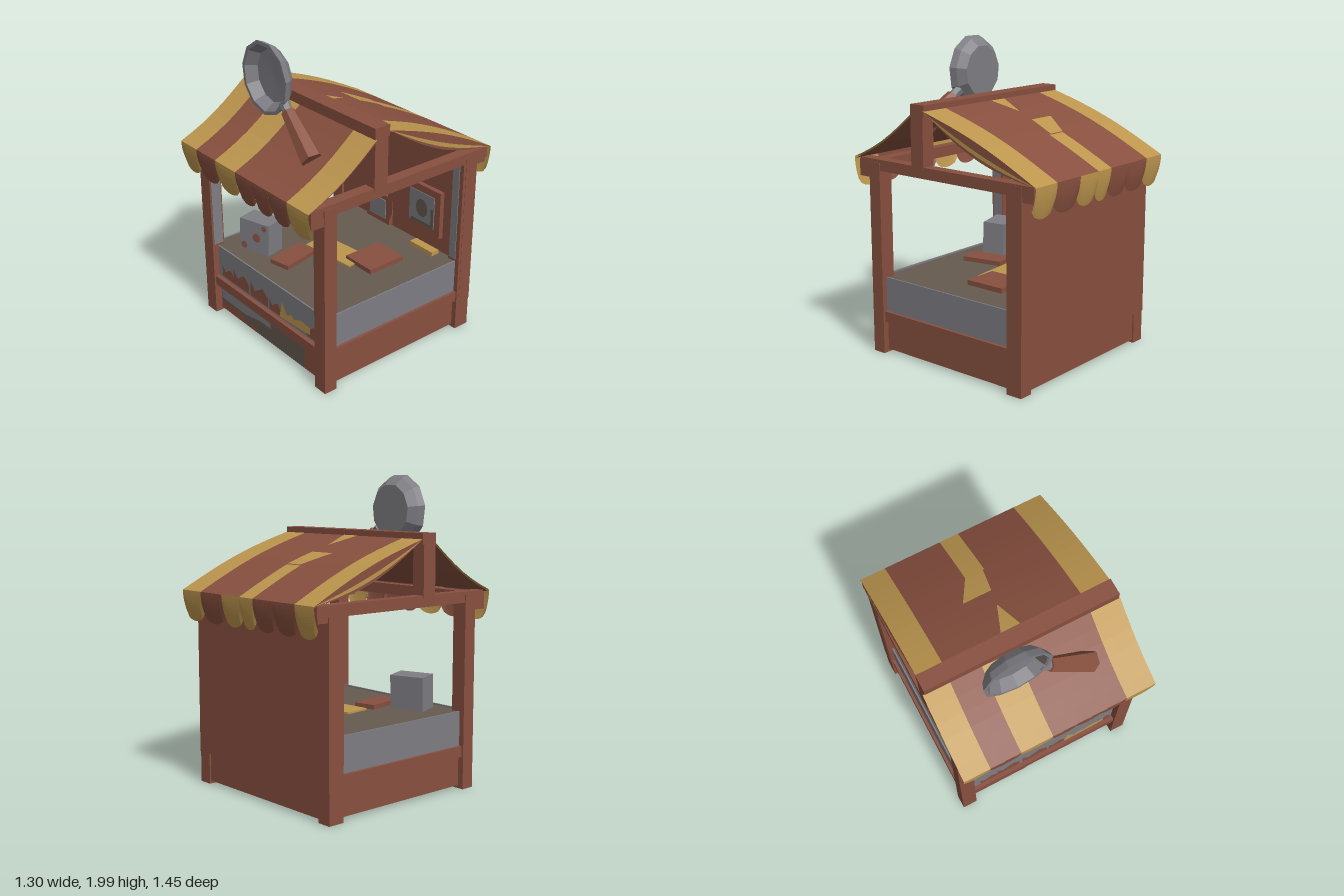
import * as THREE from 'three';

const mat = (name, color) => {
  const m = new THREE.MeshStandardMaterial({ color, flatShading: true, side: THREE.DoubleSide });
  m.name = name;
  return m;
};

export function createModel() {
  const group = new THREE.Group();
  const wood = mat('red brown wood', 0x88503f);
  const yellow = mat('mustard cloth', 0xbd964e);
  const grey = mat('grey metal', 0x7e7d83);
  const taupe = mat('dark taupe', 0x655a50);

  const add = (name, geo, material, parent = group) => {
    const m = new THREE.Mesh(geo, material);
    m.name = name;
    parent.add(m);
    return m;
  };
  // box given by its extents
  const box = (name, material, x0, x1, y0, y1, z0, z1) => {
    const m = add(name, new THREE.BoxGeometry(x1 - x0, y1 - y0, z1 - z0), material);
    m.position.set((x0 + x1) / 2, (y0 + y1) / 2, (z0 + z1) / 2);
    return m;
  };
  // flat painted shape in the xy plane
  const plate = (name, material, pts, z) => {
    const s = new THREE.Shape(pts.map(p => new THREE.Vector2(p[0], p[1])));
    add(name, new THREE.ShapeGeometry(s), material).position.z = z;
  };

  // timber frame, mirrored left and right
  for (const s of [-1, 1]) {
    const side = (name, material, a, b, ...rest) =>
      box(name, material, Math.min(s * a, s * b), Math.max(s * a, s * b), ...rest);
    side('frontPost', wood, 0.54, 0.64, 0, 1.25, 0.52, 0.61);
    side('backPost', wood, 0.54, 0.635, 0, 1.25, -0.61, -0.5);
    side('sideBeam', wood, 0.56, 0.635, 1.2, 1.27, -0.7, 0.69);
    side('frontBracket', wood, 0.57, 0.635, 1.15, 1.26, 0.61, 0.7);
    side('backBracket', wood, 0.57, 0.63, 1.17, 1.25, -0.69, -0.61);
    side('ridgePost', wood, 0.55, 0.64, 1.25, 1.64, 0.14, 0.24);
    side('sideRail', wood, 0.56, 0.625, 0.21, 0.28, -0.52, 0.53);
    side('sideSkirt', wood, 0.585, 0.6, 0.02, 0.22, -0.52, 0.53);
    side('sideGlass', grey, 0.595, 0.605, 0.28, 0.505, -0.5, 0.52);
  }
  box('ridgeBeam', wood, -0.64, 0.64, 1.575, 1.645, 0.13, 0.24);
  box('frontBeam', wood, -0.6, 0.6, 1.2, 1.27, 0.53, 0.6);
  box('frontRail', wood, -0.55, 0.55, 0.215, 0.28, 0.53, 0.6);
  box('backWall', wood, -0.637, 0.637, 0.2, 1.26, -0.613, -0.52);
  box('backSkirt', wood, -0.55, 0.55, 0.02, 0.21, -0.6, -0.57);
  box('floor', wood, -0.58, 0.58, 0.22, 0.23, -0.55, 0.55);
  box('backPostLining', grey, 0.55, 0.605, 0.52, 1.2, -0.5, -0.495);
  box('frontPostLining', grey, -0.54, -0.535, 0.52, 1.2, 0.53, 0.6);

  // front skirt with patches of colour
  box('frontSkirt', taupe, -0.54, 0.37, 0.02, 0.215, 0.55, 0.56);
  box('frontSkirtEnd', wood, 0.37, 0.54, 0.02, 0.215, 0.55, 0.56);
  plate('skirtGreyPatch', grey, [[-0.53, 0.1], [-0.25, 0.1], [-0.1, 0.13], [0.02, 0.13], [0.03, 0.21], [-0.53, 0.21]], 0.563);
  plate('skirtInnerPatch', grey, [[-0.53, 0.06], [-0.2, 0.08], [0.05, 0.12], [0.25, 0.15], [0.28, 0.21], [-0.53, 0.21]], 0.547);
  plate('skirtBrownPatch', wood, [[-0.53, 0.025], [-0.12, 0.025], [-0.12, 0.06], [-0.25, 0.05], [-0.3, 0.09], [-0.53, 0.08]], 0.565);

  // display case
  box('counter', taupe, -0.595, 0.595, 0.49, 0.5, -0.52, 0.565);
  box('frontGlass', grey, -0.53, 0.53, 0.285, 0.51, 0.565, 0.575);
  for (const [x, w, h] of [[-0.42, 0.13, 0.08], [-0.27, 0.17, 0.11], [-0.07, 0.19, 0.11], [0.1, 0.12, 0.08], [0.47, 0.1, 0.09]]) {
    plate('displayedFood', wood, [[x - w / 2, 0.3], [x + w / 2, 0.3], [x + w / 2, 0.3 + h * 0.6], [x + w / 5, 0.3 + h], [x - w / 4, 0.3 + h * 0.5], [x - w / 2, 0.3 + h]], 0.578);
  }
  plate('displayedBread', yellow, [[0.15, 0.3], [0.46, 0.32], [0.46, 0.37], [0.37, 0.38], [0.3, 0.35], [0.27, 0.37], [0.23, 0.34], [0.18, 0.42]], 0.581);

  // slanted till standing on the counter
  const till = new THREE.Group();
  till.name = 'till';
  till.position.set(-0.33, 0.615, 0.365);
  till.rotation.set(-0.04, 0.3, 0, 'YXZ');
  group.add(till);
  add('tillBody', new THREE.BoxGeometry(0.23, 0.22, 0.15), grey, till);
  for (const [x, y, r] of [[0.02, 0, 0.032], [-0.08, -0.075, 0.025], [0.08, 0.08, 0.02]]) {
    add('tillSpot', new THREE.CircleGeometry(r, 8), wood, till).position.set(x, y, 0.078);
  }

  // things lying on the counter
  box('book', wood, -0.17, -0.02, 0.5, 0.53, 0.14, 0.42).rotation.y = 0.2;
  box('yellowBoard', yellow, -0.18, 0.22, 0.5, 0.512, -0.08, 0.1).rotation.y = 0.1;
  box('tray', wood, 0.14, 0.38, 0.5, 0.532, -0.25, 0.03);
  box('yellowCloth', yellow, 0.25, 0.46, 0.5, 0.527, -0.49, -0.43);

  // pictures on the back wall
  const frame = (name, x0, x1, y0, y1, b) => {
    box(name, wood, x0, x1, y0, y1, -0.53, -0.487);
    box(name + 'Mount', grey, x0 + b, x1 - b, y0 + b, y1 - b, -0.489, -0.481);
  };
  frame('largeFrame', 0.13, 0.46, 0.605, 0.935, 0.05);
  const oval = add('pictureOval', new THREE.CircleGeometry(0.055, 10), taupe);
  oval.position.set(0.3, 0.775, -0.478);
  oval.scale.y = 1.2;
  plate('pictureEdge', taupe, [[0.2, 0.655], [0.41, 0.655], [0.41, 0.8], [0.385, 0.8], [0.385, 0.68], [0.2, 0.68]], -0.478);
  frame('smallFrame', -0.25, -0.02, 0.51, 0.72, 0.035);
  plate('paddle', wood, [[-0.02, 0.52], [0.02, 0.62], [0.03, 0.84], [0, 0.87], [-0.03, 0.84], [-0.02, 0.66]], -0.475);

  // awning surfaces: t 0..1 runs down the slope, 1..2 down the scalloped valance
  const surface = (z0, y0, z1, y1, bulge) => (x, t, drop) => {
    const k = Math.min(t, 1), v = Math.max(t - 1, 0);
    return [x,
      y0 + (y1 - y0) * k + Math.sin(Math.PI * k) * bulge - v * drop,
      z0 + (z1 - z0) * k - Math.sign(z1) * 0.03 * v * v];
  };
  const frontCloth = surface(0.235, 1.58, 0.73, 1.27, -0.03);
  const backCloth = surface(0.135, 1.61, -0.72, 1.27, 0.03);

  // cloth strip between two x rules, lifted for painted patches or lowered for linings
  const strip = (name, material, surf, left, right, t0, t1, lift = 0) => {
    const cols = 8, rows = 12, pos = [], idx = [];
    for (let j = 0; j <= rows; j++) {
      const t = t0 + (t1 - t0) * j / rows;
      for (let i = 0; i <= cols; i++) {
        const u = i / cols, x = left(t) + (right(t) - left(t)) * u;
        const p = surf(x, t, 0.14 + 0.055 * Math.sqrt(Math.sin(Math.PI * Math.min(u, 0.9999))));
        pos.push(p[0], p[1] + lift, p[2]);
        if (i < cols && j < rows) {
          const a = j * (cols + 1) + i, b = a + cols + 1;
          idx.push(a, b, a + 1, a + 1, b, b + 1);
        }
      }
    }
    const g = new THREE.BufferGeometry();
    g.setAttribute('position', new THREE.Float32BufferAttribute(pos, 3));
    g.setIndex(idx);
    g.computeVertexNormals();
    add(name, g, material);
  };
  const panel = (name, material, surf, x0, x1, t0, t1, lift) =>
    strip(name, material, surf, () => x0, () => x1, t0, t1, lift);

  const frontEdges = [-0.65, -0.475, -0.27, -0.055, 0.115, 0.28, 0.45, 0.65];
  const backEdges = [-0.635, -0.465, -0.27, -0.08, 0.05, 0.23, 0.45, 0.645];
  for (let i = 0; i < 7; i++) {
    const [b0, b1] = [backEdges[i], backEdges[i + 1]];
    panel('frontAwning', [0, 2, 6].includes(i) ? yellow : wood, frontCloth, frontEdges[i], frontEdges[i + 1], 0, 2);
    if (i !== 3) panel('backAwning', i === 0 || i === 6 ? yellow : wood, backCloth, b0, b1, 0, 1);
    panel('backValance', [0, 3, 4, 6].includes(i) ? yellow : wood, backCloth, b0, b1, 1, 2);
  }
  // plain brown linings
  panel('frontLining', wood, frontCloth, -0.645, 0.645, 0, 1, -0.012);
  panel('backLining', wood, backCloth, -0.63, 0.64, 0, 1, -0.012);

  // hems hanging from the gable edges of the back awning, with a yellow band
  for (const edge of [-0.635, 0.645]) {
    const hem = (u, t) => {
      const p = backCloth(edge, t, 0);
      p[1] -= u * 0.1 * Math.sin(Math.PI * t);
      return p;
    };
    panel('hemUpper', wood, hem, 0, 0.55, 0, 1);
    panel('hemBand', yellow, hem, 0.55, 0.82, 0, 1);
    panel('hemLower', wood, hem, 0.82, 1, 0, 1);
  }

  // broken middle stripe of the back awning
  panel('backMiddleTop', wood, backCloth, backEdges[3], backEdges[4], 0, 0.57);
  panel('backMiddleStripe', yellow, backCloth, backEdges[3], backEdges[4], 0.57, 1);
  strip('stripeFoot', yellow, backCloth,
    t => -0.18 + 0.1 * (t - 0.37) / 0.2, t => 0.01 + 0.03 * (t - 0.37) / 0.2, 0.37, 0.57, 0.006);
  strip('stripeTip', yellow, backCloth,
    t => -0.01 - 0.08 * (1 - t / 0.24), t => -0.01 + 0.06 * (1 - t / 0.24), 0.02, 0.24, 0.006);

  // frying pan sign
  const pan = new THREE.Group();
  pan.name = 'fryingPan';
  pan.position.set(-0.14, 1.766, 0.345);
  group.add(pan);
  const lathe = (name, material, pts, start, length) => {
    const g = new THREE.LatheGeometry(pts.map(p => new THREE.Vector2(p[0], p[1])), Math.round(11 * length), start * Math.PI * 2, length * Math.PI * 2);
    const m = add(name, g, material, pan);
    m.rotation.x = Math.PI / 2;
    m.scale.z = 1.05;
  };
  lathe('panDish', grey, [[0, 0], [0.16, 0], [0.205, 0.05], [0.222, 0.095], [0.2, 0.095], [0.16, 0.025], [0, 0.02]], 0, 1);
  lathe('panStain', taupe, [[0.158, 0.028], [0.19, 0.085]], 2 / 11, 2 / 11);

  // tapered handle laid along its direction
  const rod = (name, material, a, b, r0, r1) => {
    const from = new THREE.Vector3(...a), to = new THREE.Vector3(...b);
    const d = to.clone().sub(from);
    const m = add(name, new THREE.CylinderGeometry(r1, r0, d.length(), 6), material);
    m.position.copy(from).addScaledVector(d, 0.5);
    m.quaternion.setFromUnitVectors(new THREE.Vector3(0, 1, 0), d.normalize());
  };
  rod('panNeck', grey, [0.02, 1.655, 0.41], [0.1, 1.59, 0.43], 0.035, 0.03);
  rod('panHandle', wood, [0.07, 1.615, 0.42], [0.345, 1.41, 0.46], 0.045, 0.07);

  return group;
}
